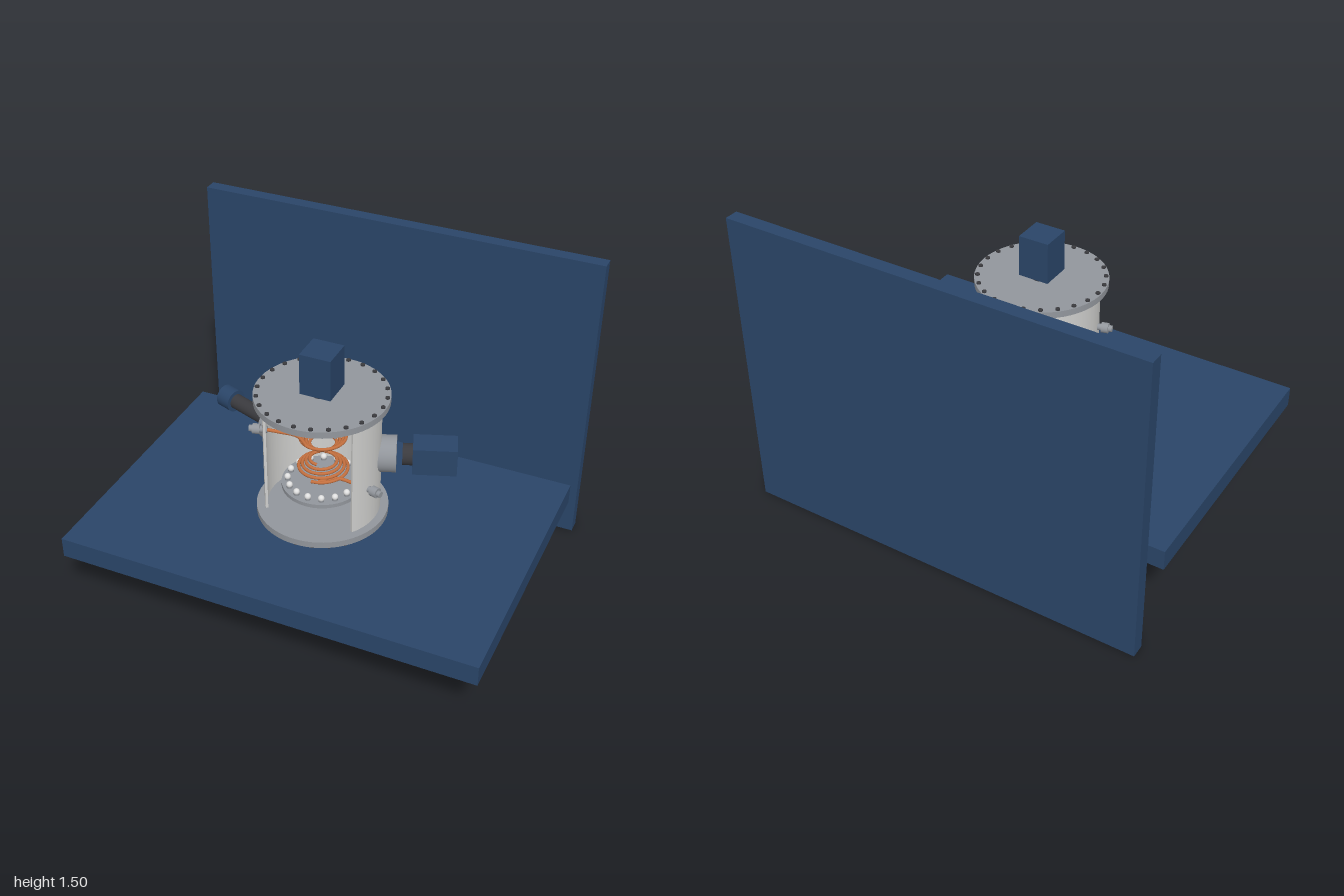
import * as THREE from 'three';
import { toCreasedNormals } from 'three/addons/utils/BufferGeometryUtils.js';

const mat = (name, color) => {
  const m = new THREE.MeshStandardMaterial({ color });
  m.name = name;
  return m;
};

export function createModel() {
  const blue = mat('navy blue', 0x2a4568);
  const steel = mat('steel grey', 0x92969c);
  const wallMat = mat('light steel', 0xcfcfcd);
  const dark = mat('dark grey', 0x3a3a3e);
  const copper = mat('copper', 0xc4703f);
  const white = mat('pale grey', 0xe0e0e0);

  const model = new THREE.Group();
  const add = (parent, name, geometry, material, x = 0, y = 0, z = 0) => {
    const m = new THREE.Mesh(geometry, material);
    m.name = name;
    m.position.set(x, y, z);
    parent.add(m);
    return m;
  };
  const box = (parent, name, material, w, h, d, x, y, z) =>
    add(parent, name, new THREE.BoxGeometry(w, h, d), material, x, y, z);
  // upright cylinder from y0 to y1
  const post = (parent, name, material, r, y0, y1, x = 0, z = 0, sides = 32) =>
    add(parent, name, new THREE.CylinderGeometry(r, r, y1 - y0, sides), material, x, (y0 + y1) / 2, z);
  // cylinder lying along local x from x0 to x1
  const barrel = (parent, name, material, r, x0, x1) =>
    add(parent, name, new THREE.CylinderGeometry(r, r, x1 - x0, 40).rotateZ(-Math.PI / 2), material, (x0 + x1) / 2);

  // Back wall and table
  box(model, 'backWall', blue, 2, 1.5, 0.065, 0, 0.75, -0.752);
  box(model, 'table', blue, 2, 0.1, 1.335, 0, 0.353, 0.117);

  const chamber = new THREE.Group();
  chamber.name = 'vacuumChamber';
  chamber.position.z = 0.117;
  model.add(chamber);

  // Curved wall, open towards the front
  const a0 = THREE.MathUtils.degToRad(-36), a1 = THREE.MathUtils.degToRad(216);
  const ring = new THREE.Shape();
  ring.absarc(0, 0, 0.267, a0, a1, false);
  ring.absarc(0, 0, 0.255, a1, a0, true);
  const wallGeo = new THREE.ExtrudeGeometry(ring, { depth: 0.57, bevelEnabled: false, curveSegments: 64 });
  wallGeo.rotateX(-Math.PI / 2);
  add(chamber, 'chamberWall', toCreasedNormals(wallGeo, 0.6), wallMat, 0, 0.467, 0);

  // End flanges with their bolt circles
  post(chamber, 'bottomFlange', steel, 0.305, 0.437, 0.468, 0, 0, 72);
  post(chamber, 'topFlange', steel, 0.305, 1.036, 1.067, 0, 0, 72);
  for (let i = 0; i < 24; i++) {
    const a = (i / 24) * Math.PI * 2, x = 0.29 * Math.sin(a), z = 0.29 * Math.cos(a);
    post(chamber, 'topBolt', dark, 0.0105, 1.06, 1.074, x, z, 12);
    post(chamber, 'bottomBolt', dark, 0.0105, 0.43, 0.444, x, z, 12);
  }

  // Groups whose local x points outward from the chamber axis
  const radial = (name, degrees, y) => {
    const g = new THREE.Group();
    g.name = name;
    g.position.y = y;
    g.rotation.y = THREE.MathUtils.degToRad(degrees);
    chamber.add(g);
    return g;
  };
  const port = (name, degrees) => {
    const g = radial(name, degrees, 0.755);
    const tube = new THREE.CylinderGeometry(0.085, 0.085, 0.09, 48, 1, true).rotateZ(-Math.PI / 2);
    add(g, 'portTube', tube, steel, 0.29);
    add(g, 'portWindow', new THREE.CircleGeometry(0.085, 48).rotateY(Math.PI / 2), steel, 0.335);
    return g;
  };
  port('backPort', 90);

  // Camera looking into the left port
  const cameraPort = port('leftPort', 20);
  barrel(cameraPort, 'cameraLens', dark, 0.05, 0.362, 0.41);
  box(cameraPort, 'cameraBody', blue, 0.2, 0.135, 0.125, 0.508, 0, 0);

  // Pipe and its end unit on the right port
  const pipePort = port('rightPort', 160);
  barrel(pipePort, 'sidePipe', dark, 0.036, 0.33, 0.58);
  barrel(pipePort, 'pipeEndUnit', blue, 0.054, 0.575, 0.652);

  // Electrical feedthroughs with leads running to the coils
  for (const [side, degrees, y] of [['left', -15, 0.665], ['right', 195, 0.842]]) {
    const g = radial(side + 'Feedthrough', degrees, y);
    barrel(g, 'feedthroughNeck', steel, 0.015, 0.25, 0.335);
    barrel(g, 'feedthroughCollar', steel, 0.024, 0.285, 0.318);
    const s = side === 'left' ? 1 : -1, r = side === 'left' ? 0.122 : 0.112;
    const lead = new THREE.CatmullRomCurve3([
      new THREE.Vector3(s * 0.25, y, 0.067), new THREE.Vector3(s * 0.19, y, 0.06),
      new THREE.Vector3(s * 0.1, y, 0.055), new THREE.Vector3(s * 0.03, y, r - 0.008)]);
    add(chamber, side + 'CoilLead', new THREE.TubeGeometry(lead, 24, 0.008, 10), copper);
  }

  // Conical spiral coils
  const coil = (name, r0, r1, y0, y1, turns) => {
    const pts = [];
    const n = turns * 24;
    for (let i = 0; i <= n; i++) {
      const t = i / n, a = t * turns * Math.PI * 2, r = r0 + (r1 - r0) * t;
      pts.push(new THREE.Vector3(r * Math.sin(a), y0 + (y1 - y0) * t, r * Math.cos(a)));
    }
    const path = new THREE.CatmullRomCurve3(pts);
    add(chamber, name, new THREE.TubeGeometry(path, n * 2, 0.0075, 10), copper);
  };
  coil('upperCoil', 0.112, 0.055, 0.84, 0.795, 4);
  coil('lowerCoil', 0.122, 0.055, 0.663, 0.712, 4);
  for (const x of [-0.063, 0.063]) post(chamber, 'coilHanger', steel, 0.006, 0.84, 1.04, x, 0, 12);
  add(chamber, 'levitatedSample', new THREE.SphereGeometry(0.01, 20, 14), white, 0, 0.752, 0);

  // Rotating sample table on its shaft
  post(chamber, 'tableShaft', steel, 0.011, 0.46, 0.58);
  post(chamber, 'shaftFoot', dark, 0.015, 0.403, 0.44);
  post(chamber, 'shaftCollar', steel, 0.04, 0.545, 0.572);
  post(chamber, 'sampleTable', steel, 0.188, 0.57, 0.589, 0, 0, 64);
  for (let i = 0; i < 16; i++) {
    const a = (i / 16) * Math.PI * 2, x = 0.16 * Math.sin(a), z = 0.16 * Math.cos(a);
    post(chamber, 'sampleHolder', steel, 0.013, 0.588, 0.6, x, z, 16);
    add(chamber, 'sample', new THREE.SphereGeometry(0.015, 18, 12), white, x, 0.606, z);
  }

  // Drive unit on the lid
  post(chamber, 'driveMount', dark, 0.052, 1.065, 1.088);
  box(chamber, 'driveUnit', blue, 0.148, 0.2, 0.148, 0, 1.186, 0);

  return model;
}
